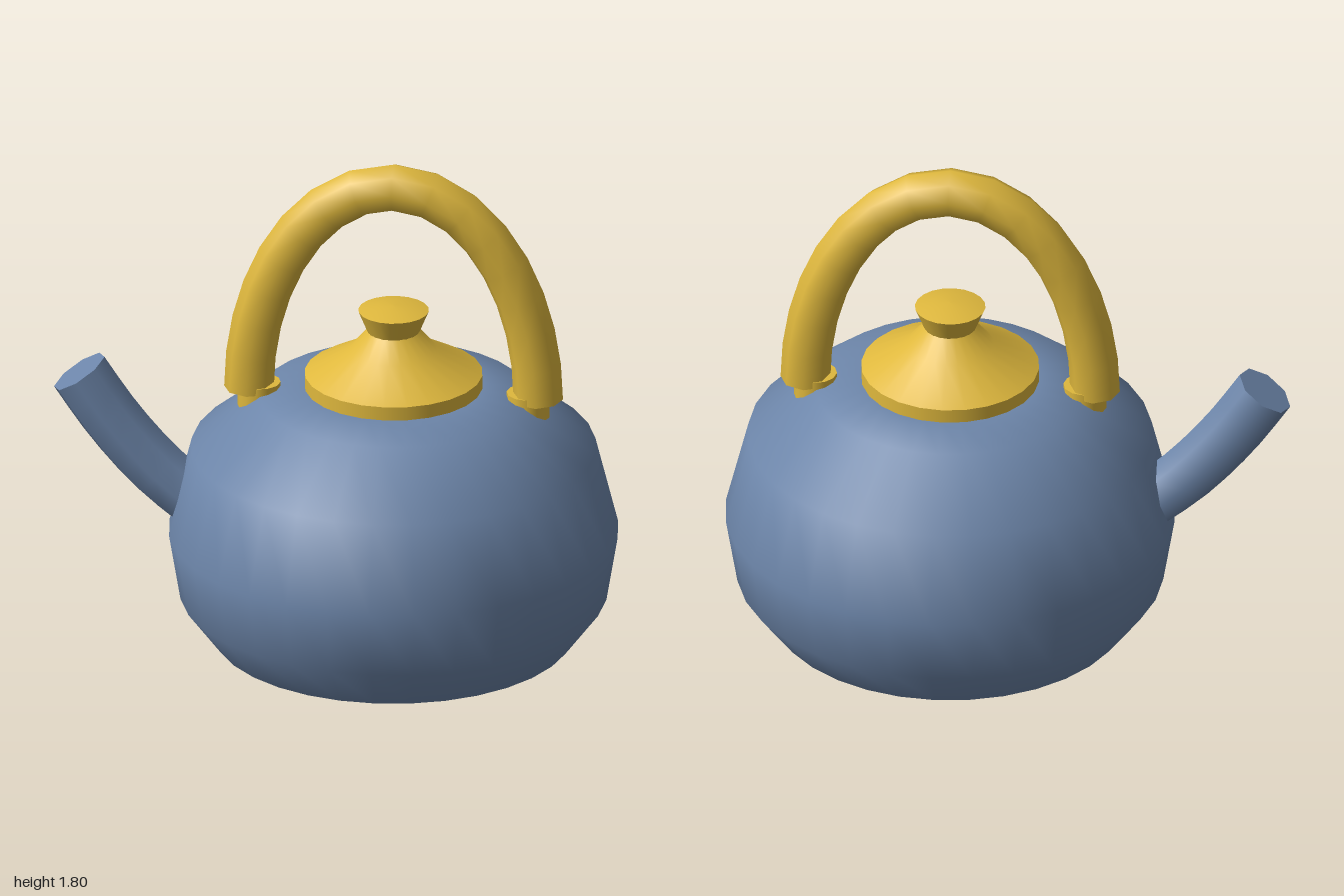
import * as THREE from 'three';
import { mergeGeometries } from 'three/addons/utils/BufferGeometryUtils.js';

const enamel = new THREE.MeshStandardMaterial({ color: 0x6d86aa });
enamel.name = 'blueEnamel';
const brass = new THREE.MeshStandardMaterial({ color: 0xdfb83d });
brass.name = 'yellowTrim';

function part(name, geometry, material) {
  const mesh = new THREE.Mesh(geometry, material);
  mesh.name = name;
  return mesh;
}

// Each profile is smooth in itself; edges between profiles stay sharp.
function turned(profiles, segments) {
  return mergeGeometries(profiles.map((p) =>
    new THREE.LatheGeometry(p.map(([r, y]) => new THREE.Vector2(r, y)), segments)));
}

// Octagonal tube with flat discs closing both ends.
function closedTube(curve, steps, radius) {
  const tube = new THREE.TubeGeometry(curve, steps, radius, 8, false);
  const frames = curve.computeFrenetFrames(steps, false);
  const caps = [0, 1].map((t) => {
    const i = t * steps;
    const out = frames.tangents[i].clone().multiplyScalar(t ? 1 : -1);
    const side = frames.normals[i];
    const basis = new THREE.Matrix4().makeBasis(side, out.clone().cross(side), out);
    return new THREE.CircleGeometry(radius, 8)
      .applyMatrix4(basis.setPosition(curve.getPointAt(t)));
  });
  return mergeGeometries([tube, ...caps]);
}

export function createModel() {
  const model = new THREE.Group();
  model.name = 'kettle';

  // Everything but the spout is centred on the pot's axis
  const pot = new THREE.Group();
  pot.name = 'pot';
  pot.position.x = 0.205;
  model.add(pot);

  // Round body with a flat base
  pot.add(part('body', turned([
    [[0, 0], [0.635, 0]],
    [[0.635, 0], [0.755, 0.16], [0.795, 0.4], [0.715, 0.72], [0.475, 0.915], [0.315, 0.948], [0, 0.948]],
  ], 32), enamel));

  // Lid: upright rim, sloping top and neck
  pot.add(part('lid', turned([
    [[0, 0.95], [0.315, 0.95]],
    [[0.315, 0.95], [0.315, 1.0]],
    [[0.315, 1.0], [0.155, 1.09], [0.09, 1.165]],
  ], 24), brass));

  // Flared knob with a slightly domed top
  pot.add(part('knob', turned([
    [[0.092, 1.16], [0.125, 1.24]],
    [[0.125, 1.24], [0.06, 1.255], [0, 1.257]],
  ], 20), brass));

  // Half-ellipse handle
  const arch = new THREE.CatmullRomCurve3(Array.from({ length: 33 }, (_, i) => {
    const a = Math.PI * (1 - i / 32);
    return new THREE.Vector3(0.513 * Math.cos(a), 0.92 + 0.79 * Math.sin(a), 0);
  }));
  pot.add(part('handle', closedTube(arch, 16, 0.088), brass));

  // Pegs joining the handle to the shoulder
  for (const [name, s] of [['leftPeg', 1], ['rightPeg', -1]]) {
    const peg = part(name, new THREE.CylinderGeometry(0.076, 0.076, 0.2, 12), brass);
    peg.position.set(s * 0.477, 0.845, 0);
    pot.add(peg);
  }

  // Curved spout rising from the model's right side
  const path = new THREE.CatmullRomCurve3(
    [[-0.42, 0.42], [-0.52, 0.5], [-0.61, 0.575], [-0.71, 0.68], [-0.81, 0.805], [-0.91, 0.953]]
      .map(([x, y]) => new THREE.Vector3(x, y, 0)));
  model.add(part('spout', closedTube(path, 8, 0.108), enamel));

  return model;
}
